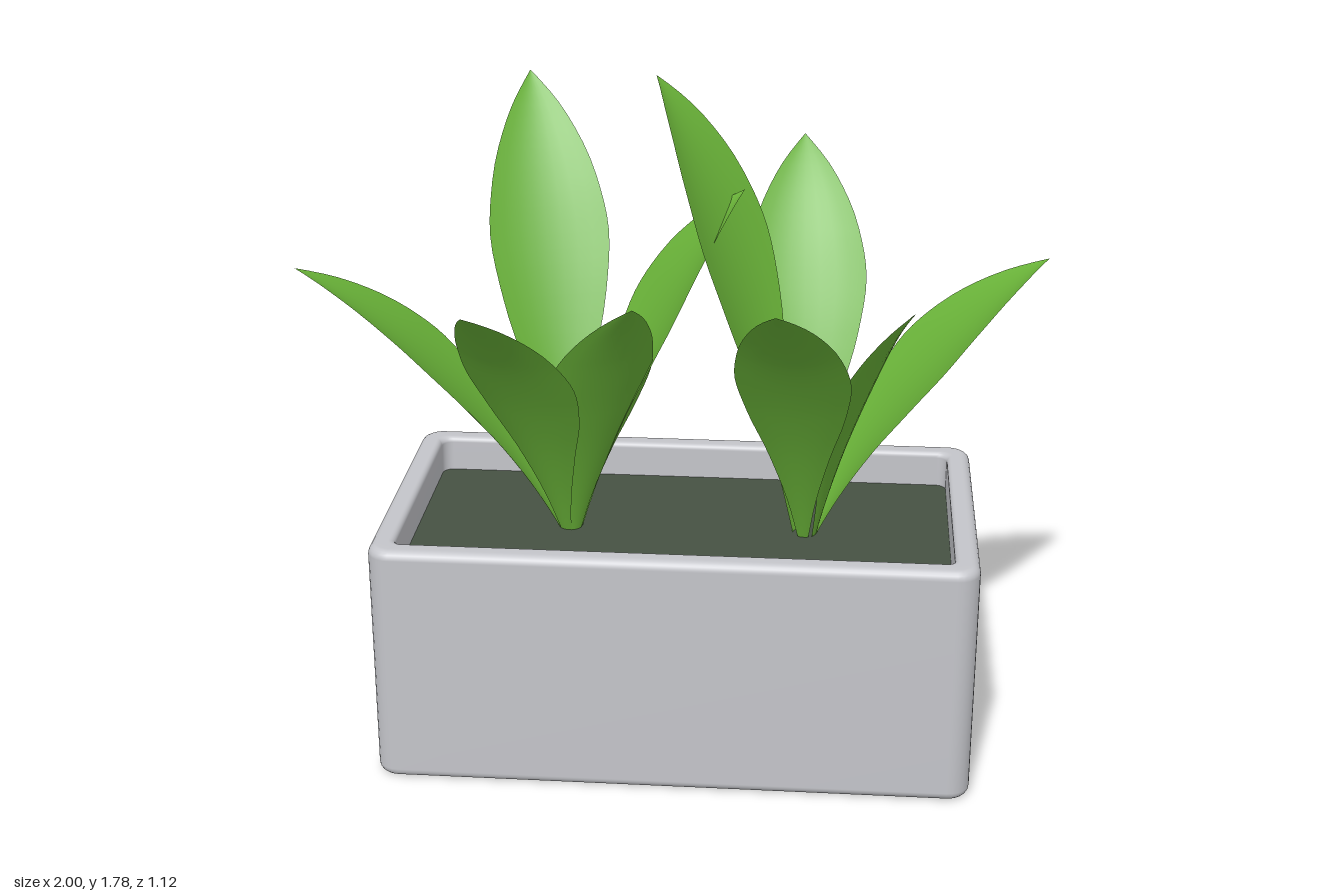
import * as THREE from 'three';

const stone = new THREE.MeshStandardMaterial({ color: 0xc4c5ca });
stone.name = 'stoneGrey';
const earth = new THREE.MeshStandardMaterial({ color: 0x465243 });
earth.name = 'darkSoil';
const green = new THREE.MeshStandardMaterial({ color: 0x69b238, side: THREE.DoubleSide });
green.name = 'leafGreen';

const BASE_Y = 0.57;

function add(parent, name, geometry, material) {
  const mesh = new THREE.Mesh(geometry, material);
  mesh.name = name;
  parent.add(mesh);
  return mesh;
}

function grid(positions, rows, cols) {
  const index = [];
  for (let i = 0; i < rows - 1; i++) {
    for (let j = 0; j < cols - 1; j++) {
      const a = i * cols + j, b = a + cols;
      index.push(a, b, a + 1, b, b + 1, a + 1);
    }
  }
  const g = new THREE.BufferGeometry();
  g.setAttribute('position', new THREE.Float32BufferAttribute(positions, 3));
  g.setIndex(index);
  g.computeVertexNormals();
  return g;
}

// Rounded rectangular trough: a profile of [inset, height, scale] swept round the outline
function potGeometry(halfW, halfD, height) {
  const profile = [[0.03, 0, 0], [0.03, 0, 1]];
  const arc = (cx, cy, r, from, to) => {
    for (let k = 0; k <= 5; k++) {
      const a = from + (to - from) * k / 5;
      profile.push([cx - r * Math.cos(a), cy + r * Math.sin(a), 1]);
    }
  };
  arc(0.025, 0.025, 0.025, -Math.PI / 2, 0);
  arc(0.025, height - 0.025, 0.025, 0, Math.PI / 2);
  arc(0.05, height - 0.015, 0.015, Math.PI / 2, Math.PI);
  profile.push([0.065, BASE_Y - 0.02, 1]);

  const positions = [], steps = 6, cols = 4 * (steps + 1) + 1;
  for (const [inset, y, s] of profile) {
    const r = Math.max(0.06 - inset, 0.03);
    for (let j = 0; j < cols; j++) {
      const n = j % (cols - 1);
      const corner = Math.floor(n / (steps + 1));
      const a = (corner + (n % (steps + 1)) / steps) * Math.PI / 2;
      const sx = corner === 0 || corner === 3 ? 1 : -1;
      const sz = corner < 2 ? 1 : -1;
      positions.push(
        s * (sx * (halfW - inset - r) + r * Math.cos(a)), y,
        s * (sz * (halfD - inset - r) + r * Math.sin(a)));
    }
  }
  return grid(positions, profile.length, cols);
}

// Relative half-width along a leaf, from stem to point
const leafOutline = new THREE.CatmullRomCurve3([
  [0, 0.1], [0.1, 0.25], [0.25, 0.55], [0.4, 0.87], [0.53, 1], [0.66, 0.88], [0.83, 0.52], [1, 0],
].map(([t, w]) => new THREE.Vector3(t, w, 0)));

// Arching, slightly cupped blade from a plant's base to a given tip
function leafGeometry(base, tip, halfWidth) {
  const dx = tip.x - base.x, dz = tip.z - base.z, h = tip.y - base.y;
  const reach = Math.hypot(dx, dz), ux = dx / reach, uz = dz / reach;
  const start = 0.03;
  const spine = new THREE.QuadraticBezierCurve(
    new THREE.Vector2(start, 0),
    new THREE.Vector2(start + 0.4 * (reach - start), 0.75 * h),
    new THREE.Vector2(reach, h));
  const positions = [], rows = 29, cols = 9;
  for (let i = 0; i < rows; i++) {
    const outline = leafOutline.getPoint(i / (rows - 1));
    const t = THREE.MathUtils.clamp(outline.x, 0, 1);
    const p = spine.getPoint(t), d = spine.getTangent(t);
    const w = halfWidth * Math.max(outline.y, 0);
    for (let j = 0; j < cols; j++) {
      const v = j / (cols - 1) * 2 - 1;
      const lift = 0.18 * w * (v * v - 0.4);
      const r = p.x - d.y * lift, side = v * w;
      positions.push(base.x + ux * r - uz * side, base.y + p.y + d.x * lift, base.z + uz * r + ux * side);
    }
  }
  return grid(positions, rows, cols);
}

function plant(name, x, z, tips) {
  const group = new THREE.Group();
  group.name = name;
  const base = new THREE.Vector3(x, BASE_Y, z);
  tips.forEach(([tx, ty, tz, w], i) =>
    add(group, `leaf${i + 1}`, leafGeometry(base, new THREE.Vector3(tx, ty, tz), w), green));
  return group;
}

export function createModel() {
  const model = new THREE.Group();
  model.name = 'planter';

  // Trough, soil and side plate
  const cx = 0.03, cz = -0.015;
  add(model, 'pot', potGeometry(0.795, 0.428, 0.67), stone).position.set(cx, 0, cz);
  add(model, 'soil', new THREE.BoxGeometry(1.47, 0.04, 0.735), earth).position.set(cx, BASE_Y - 0.02, cz);
  add(model, 'sidePlate', new THREE.BoxGeometry(0.03, 0.055, 0.155), stone).position.set(0.82, 0.503, -0.138);

  // Two plants; each leaf is listed as tip x, y, z and half-width
  model.add(plant('rightPlant', -0.28, -0.015, [
    [-1.0, 1.31, 0.03, 0.16],
    [-0.445, 1.72, -0.56, 0.165],
    [-0.475, 1.34, 0.485, 0.16],
    [-0.08, 1.29, 0.24, 0.165],
    [0.18, 1.485, -0.215, 0.16],
  ]));
  model.add(plant('leftPlant', 0.365, -0.02, [
    [1.0, 1.31, -0.225, 0.165],
    [0.33, 1.555, -0.555, 0.165],
    [0.295, 1.39, 0.555, 0.15],
    [0.64, 1.25, 0.09, 0.16],
    [-0.06, 1.785, -0.24, 0.165],
  ]));
  return model;
}
